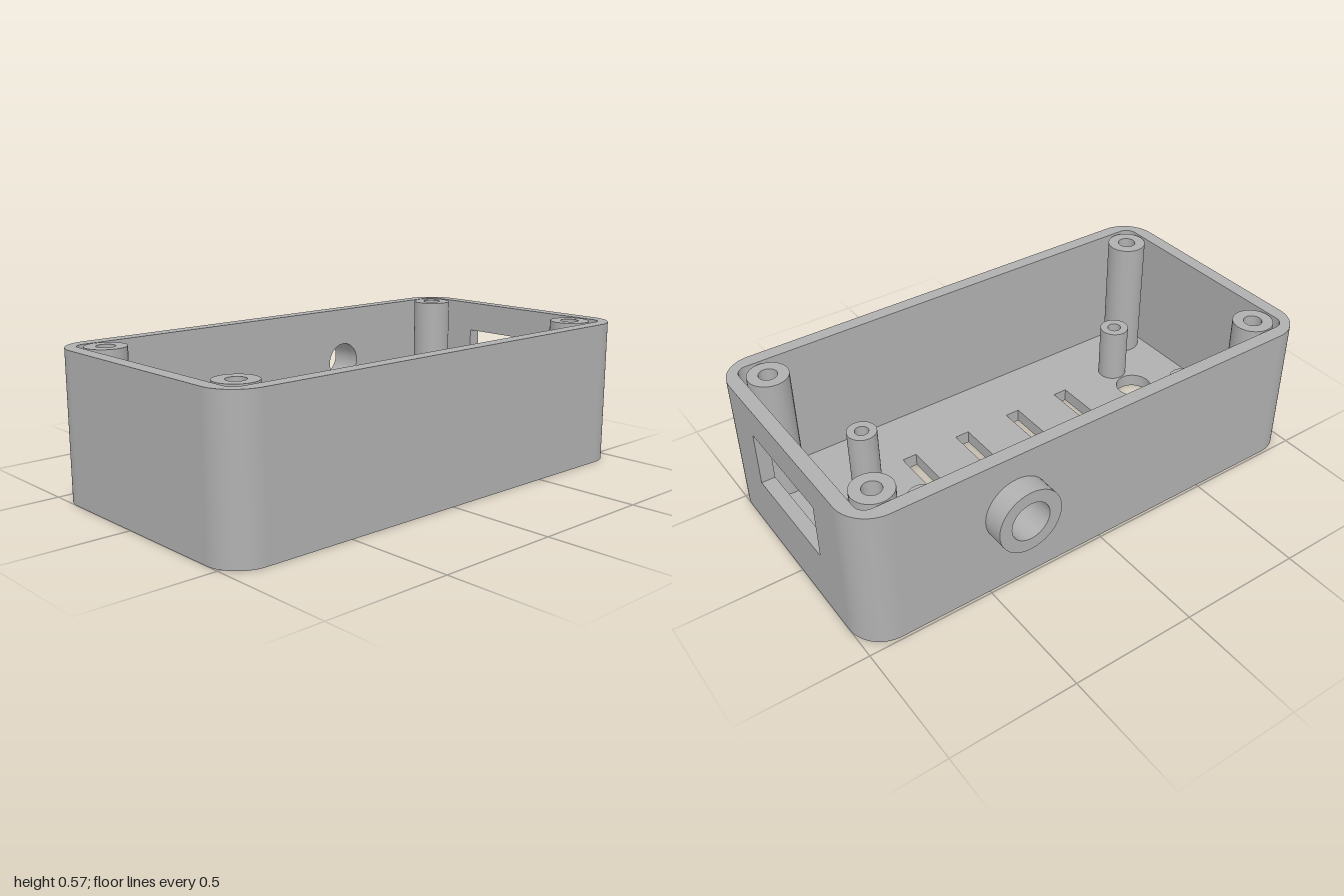
import * as THREE from 'three';
import { toCreasedNormals } from 'three/addons/utils/BufferGeometryUtils.js';

const H = 0.575, T = 0.055;               // height, wall and floor thickness
const Z0 = -0.49, Z1 = 0.575;             // back and front faces
const R = 0.135, RI = 0.045;              // outer and inner corner radii

const circle = (x, y, r, Type = THREE.Path) => new Type().absarc(x, y, r, 0, Math.PI * 2, false);

function rect(x0, y0, x1, y1, Type = THREE.Path) {
  return new Type().moveTo(x0, y0).lineTo(x1, y0).lineTo(x1, y1).lineTo(x0, y1).closePath();
}

function ring(x, y, rOuter, rInner) {
  const shape = circle(x, y, rOuter, THREE.Shape);
  shape.holes.push(circle(x, y, rInner));
  return shape;
}

function extrude(shape, depth) {
  const g = new THREE.ExtrudeGeometry(shape, { depth, bevelEnabled: false, curveSegments: 20 });
  return toCreasedNormals(g, 0.6);
}

// Extrude an (x, z) plan upwards from y0 to y1
const slab = (shape, y0, y1) => extrude(shape, y1 - y0).rotateX(Math.PI / 2).translate(0, y1, 0);

export function createModel() {
  const group = new THREE.Group();
  const grey = new THREE.MeshStandardMaterial({ color: 0xb0b0b0 });
  grey.name = 'grey plastic';
  const add = (name, geometry) => {
    const mesh = new THREE.Mesh(geometry, grey);
    mesh.name = name;
    group.add(mesh);
    return mesh;
  };

  // Floor with vent slots and two keyhole mounts
  const floor = new THREE.Shape();
  floor.absarc(1 - R, Z1 - R, R, 0, Math.PI / 2, false);
  floor.absarc(-1 + R, Z1 - R, R, Math.PI / 2, Math.PI, false);
  floor.absarc(-1 + R, Z0 + R, R, Math.PI, Math.PI * 1.5, false);
  floor.absarc(1 - R, Z0 + R, R, Math.PI * 1.5, Math.PI * 2, false);
  floor.closePath();
  for (const x of [-0.385, -0.131, 0.125, 0.379]) {
    floor.holes.push(rect(x - 0.031, -0.2, x + 0.031, 0.27));
  }
  for (const x of [-0.682, 0.677]) {
    const r = 0.075, w = 0.041, a = Math.acos(w / r);
    const keyhole = new THREE.Path();
    keyhole.absarc(x, 0.123, r, -a, Math.PI + a, false);
    keyhole.absarc(x, -0.103, w, Math.PI, Math.PI * 2, false);
    keyhole.closePath();
    floor.holes.push(keyhole);
  }
  add('floor', slab(floor, 0, T));

  // Rounded wall corners
  const corner = new THREE.Shape();
  corner.absarc(0, 0, R, 0, Math.PI / 2, false);
  corner.lineTo(0, R - T);
  corner.absarc(R - T - RI, R - T - RI, RI, Math.PI / 2, 0, true);
  corner.lineTo(R - T, 0);
  corner.closePath();
  const cornerGeometry = slab(corner, T, H);
  [[1, 1], [-1, 1], [-1, -1], [1, -1]].forEach(([sx, sz], i) => {
    const mesh = add('wallCorner', cornerGeometry);
    mesh.position.set(sx * (1 - R), 0, sz > 0 ? Z1 - R : Z0 + R);
    mesh.rotation.y = -i * Math.PI / 2;
  });

  // Straight walls: plain front and right-hand side, socket hole at the back, window on the left
  const longWall = () => rect(-1 + R, T, 1 - R, H, THREE.Shape);
  const sideWall = () => rect(-Z1 + R, T, -Z0 - R, H, THREE.Shape);
  add('frontWall', extrude(longWall(), T).translate(0, 0, Z1 - T));
  add('rightWall', extrude(sideWall(), T).rotateY(Math.PI / 2).translate(-1, 0, 0));

  const back = longWall();
  back.holes.push(circle(0.38, 0.342, 0.08));
  add('backWall', extrude(back, T).translate(0, 0, Z0));

  const left = sideWall();
  left.holes.push(rect(-0.28, 0.225, 0.19, 0.45));
  add('leftWall', extrude(left, T).rotateY(Math.PI / 2).translate(1 - T, 0, 0));

  // Cable collar on the back
  add('cableCollar', extrude(ring(0.38, 0.342, 0.131, 0.08), 0.085).translate(0, 0, -0.575));

  // Tall screw posts in the corners
  for (const x of [-0.856, 0.854]) for (const z of [-0.35, 0.425]) {
    add('cornerPost', slab(ring(x, z, 0.079, 0.036), T, H));
  }

  // Short board standoffs
  for (const x of [-0.674, 0.58]) for (const z of [-0.19, 0.265]) {
    add('boardStandoff', slab(ring(x, z, 0.06, 0.028), T, 0.287));
  }
  return group;
}
